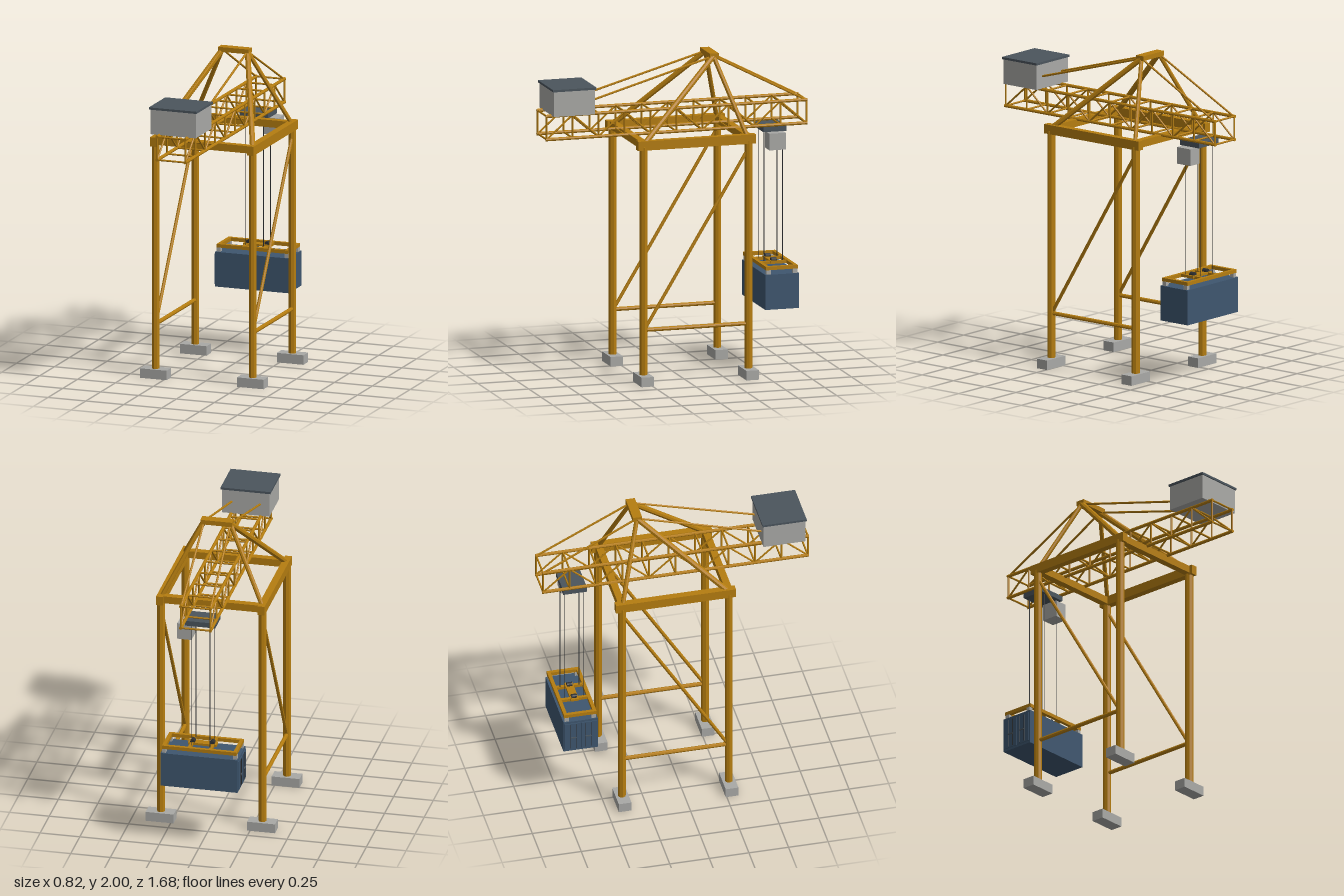
import * as THREE from 'three';

const mat = (name, color) => {
  const m = new THREE.MeshStandardMaterial({ color });
  m.name = name;
  return m;
};

export function createModel() {
  const yellow = mat('craneYellow', 0xb57d10);
  const grey = mat('paleGrey', 0xa9a9a6);
  const slate = mat('slate', 0x4b555d);
  const blue = mat('containerBlue', 0x3e566f);
  const dark = mat('cableDark', 0x2e3032);

  const root = new THREE.Group();
  root.name = 'containerCrane';
  const group = (name) => {
    const g = new THREE.Group();
    g.name = name;
    root.add(g);
    return g;
  };
  const add = (parent, name, geo, m) => {
    const mesh = new THREE.Mesh(geo, m);
    mesh.name = name;
    parent.add(mesh);
    return mesh;
  };
  const box = (parent, name, m, [w, h, d], [x, y, z]) => {
    const mesh = add(parent, name, new THREE.BoxGeometry(w, h, d), m);
    mesh.position.set(x, y, z);
    return mesh;
  };
  // Straight faceted member between two points
  const rod = (parent, name, m, a, b, r, sides = 8) => {
    const p = new THREE.Vector3(...a), q = new THREE.Vector3(...b);
    const dir = q.clone().sub(p);
    const geo = new THREE.CylinderGeometry(r, r, dir.length(), sides).toNonIndexed();
    geo.computeVertexNormals();
    const mesh = add(parent, name, geo, m);
    mesh.position.copy(p).add(q).multiplyScalar(0.5);
    mesh.quaternion.setFromUnitVectors(new THREE.Vector3(0, 1, 0), dir.normalize());
    return mesh;
  };

  // Portal: footings, legs, braces and top frame
  const portal = group('portalFrame');
  const LX = 0.32, ZF = 0.283, ZB = -0.392;
  for (const z of [ZF, ZB]) {
    for (const s of [-1, 1]) {
      box(portal, 'footing', grey, [0.176, 0.06, 0.08], [s * LX, 0.03, z]);
      rod(portal, 'leg', yellow, [s * LX, 0.06, z], [s * LX, 1.49, z], 0.025);
    }
    box(portal, 'crossBeam', yellow, [0.62, 0.046, 0.044], [0, 1.502, z]);
  }
  for (const s of [-1, 1]) {
    box(portal, 'sideBeam', yellow, [0.044, 0.058, 0.757], [s * LX, 1.5, -0.055]);
    rod(portal, 'lowerTie', yellow, [s * LX, 0.34, ZF], [s * LX, 0.34, ZB], 0.013);
    rod(portal, 'diagonalBrace', yellow, [s * LX, 0.345, ZF - 0.008], [s * LX, 1.44, ZB], 0.011);
  }

  // Apex tower and stays
  const tower = group('apexTower');
  const AZ = -0.241;
  box(tower, 'apexBeam', yellow, [0.2, 0.03, 0.058], [0, 1.985, AZ]);
  for (const s of [-1, 1]) {
    const top = [s * 0.083, 1.98, AZ];
    rod(tower, 'frontStrut', yellow, top, [s * 0.316, 1.515, 0.27], 0.018);
    rod(tower, 'rearStrut', yellow, top, [s * 0.316, 1.515, -0.385], 0.014);
    rod(tower, 'outreachStay', yellow, top, [s * 0.092, 1.67, -0.835], 0.007, 6);
    rod(tower, 'counterStay', yellow, top, [s * 0.092, 1.67, 0.835], 0.007, 6);
  }

  // Boom: box truss with ten bays
  const boom = group('boom');
  const BX = 0.093, Y0 = 1.525, Y1 = 1.671, L = 0.836, BAYS = 10;
  for (const s of [-1, 1]) {
    const x = s * BX;
    for (const y of [Y0, Y1]) rod(boom, 'chord', yellow, [x, y, -L - 0.006], [x, y, L + 0.006], 0.0105);
    for (let i = 0; i <= BAYS; i++) {
      const z = L - (2 * L * i) / BAYS;
      rod(boom, 'post', yellow, [x, Y0, z], [x, Y1, z], 0.006, 6);
      if (i < BAYS) {
        const up = i % 2 === 0;
        rod(boom, 'lacing', yellow, [x, up ? Y0 : Y1, z],
          [x, up ? Y1 : Y0, z - (2 * L) / BAYS], 0.006, 6);
      }
    }
  }
  for (let i = 0; i <= BAYS; i++) {
    const z = L - (2 * L * i) / BAYS;
    for (const y of [Y0, Y1]) rod(boom, 'rung', yellow, [-BX, y, z], [BX, y, z], 0.006, 6);
  }

  // Machinery house on the rear of the boom
  const house = group('machineryHouse');
  box(house, 'houseWalls', grey, [0.3, 0.157, 0.265], [0, 1.755, 0.675]);
  box(house, 'houseRoof', slate, [0.314, 0.014, 0.278], [0, 1.84, 0.675]);

  // Trolley with operator cab
  const CZ = -0.634;
  const trolley = group('trolley');
  box(trolley, 'trolleyPlate', slate, [0.19, 0.032, 0.15], [0, 1.499, CZ]);
  box(trolley, 'operatorCab', grey, [0.09, 0.105, 0.106], [0.105, 1.431, CZ]);

  // Hoist cables
  const hoist = group('hoist');
  for (const x of [-0.058, 0.058]) {
    for (const dz of [-0.06, 0.06]) {
      rod(hoist, 'cable', dark, [x, 0.66, CZ + dz], [x, 1.49, CZ + dz], 0.0022, 5);
    }
  }

  // Spreader frame with sheaves and corner locks
  const spreader = group('spreader');
  for (const s of [-1, 1]) {
    box(spreader, 'spreaderRail', yellow, [0.47, 0.022, 0.022], [0, 0.656, CZ + s * 0.092]);
    box(spreader, 'spreaderEnd', yellow, [0.022, 0.022, 0.2], [s * 0.224, 0.656, CZ]);
    box(spreader, 'headBar', yellow, [0.02, 0.018, 0.18], [s * 0.066, 0.657, CZ]);
    rod(spreader, 'sheave', dark, [s * 0.062, 0.673, CZ - 0.017], [s * 0.062, 0.673, CZ + 0.017], 0.015, 12);
    for (const t of [-1, 1]) {
      box(spreader, 'cornerLock', grey, [0.024, 0.028, 0.028], [s * 0.224, 0.631, CZ + t * 0.085]);
    }
  }
  box(spreader, 'headBlock', yellow, [0.18, 0.014, 0.05], [0, 0.662, CZ]);

  // Container with doors on the -x end
  const cargo = group('cargoContainer');
  box(cargo, 'containerBody', blue, [0.486, 0.22, 0.217], [0, 0.508, CZ]);
  for (const s of [-1, 1]) {
    box(cargo, 'door', blue, [0.006, 0.19, 0.098], [-0.245, 0.508, CZ + s * 0.052]);
    for (const d of [0.03, 0.065]) {
      rod(cargo, 'lockRod', dark, [-0.25, 0.42, CZ + s * d], [-0.25, 0.597, CZ + s * d], 0.0025, 6);
    }
    box(cargo, 'doorHandle', slate, [0.006, 0.006, 0.036], [-0.253, 0.5, CZ + s * 0.047]);
  }
  return root;
}
